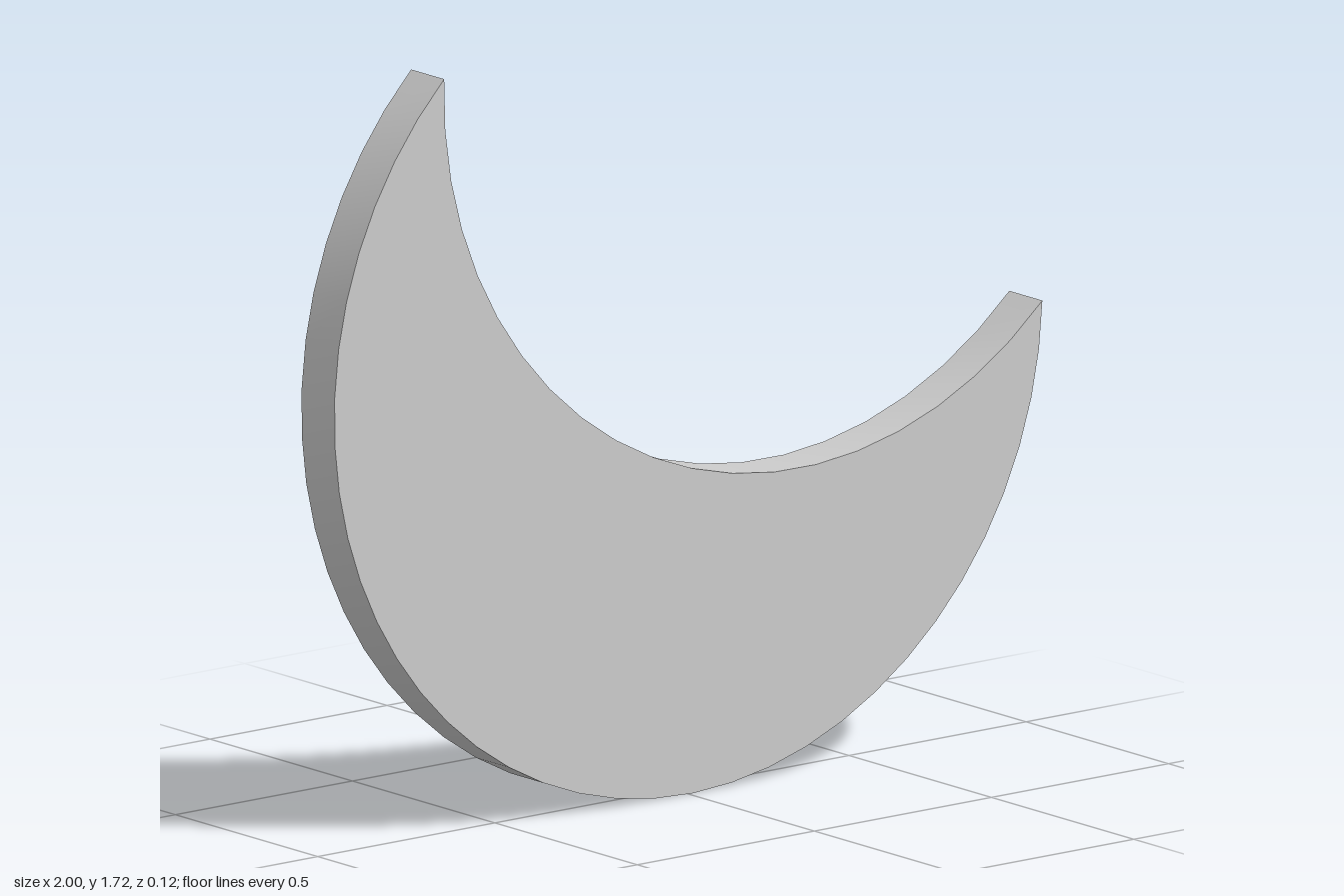
import * as THREE from 'three';
import { toCreasedNormals } from 'three/addons/utils/BufferGeometryUtils.js';

// Points along a unit-radius arc, angles in degrees
function arc(cx, cy, from, to, segments) {
  return Array.from({ length: segments + 1 }, (_, i) => {
    const a = THREE.MathUtils.degToRad(from + (to - from) * i / segments);
    return new THREE.Vector2(cx + Math.cos(a), cy + Math.sin(a));
  });
}

export function createModel() {
  const group = new THREE.Group();
  group.name = 'crescent';
  const depth = 0.116;

  // Outer rim runs from the upper tip round the bottom to the side tip;
  // the inner rim, an equal circle shifted up and sideways, returns to the start
  const outer = arc(0, 1, 133.6, 358, 36);
  const inner = arc(0.31, 1.69, -46.4, -182, 20).slice(1, -1);
  const shape = new THREE.Shape([...outer, ...inner]);

  const plate = new THREE.ExtrudeGeometry(shape, { depth, bevelEnabled: false });
  plate.translate(0, 0, -depth / 2);

  const mesh = new THREE.Mesh(
    toCreasedNormals(plate, 0.5),
    new THREE.MeshStandardMaterial({ color: 0xcccccc })
  );
  mesh.name = 'crescentPlate';
  group.add(mesh);
  return group;
}
